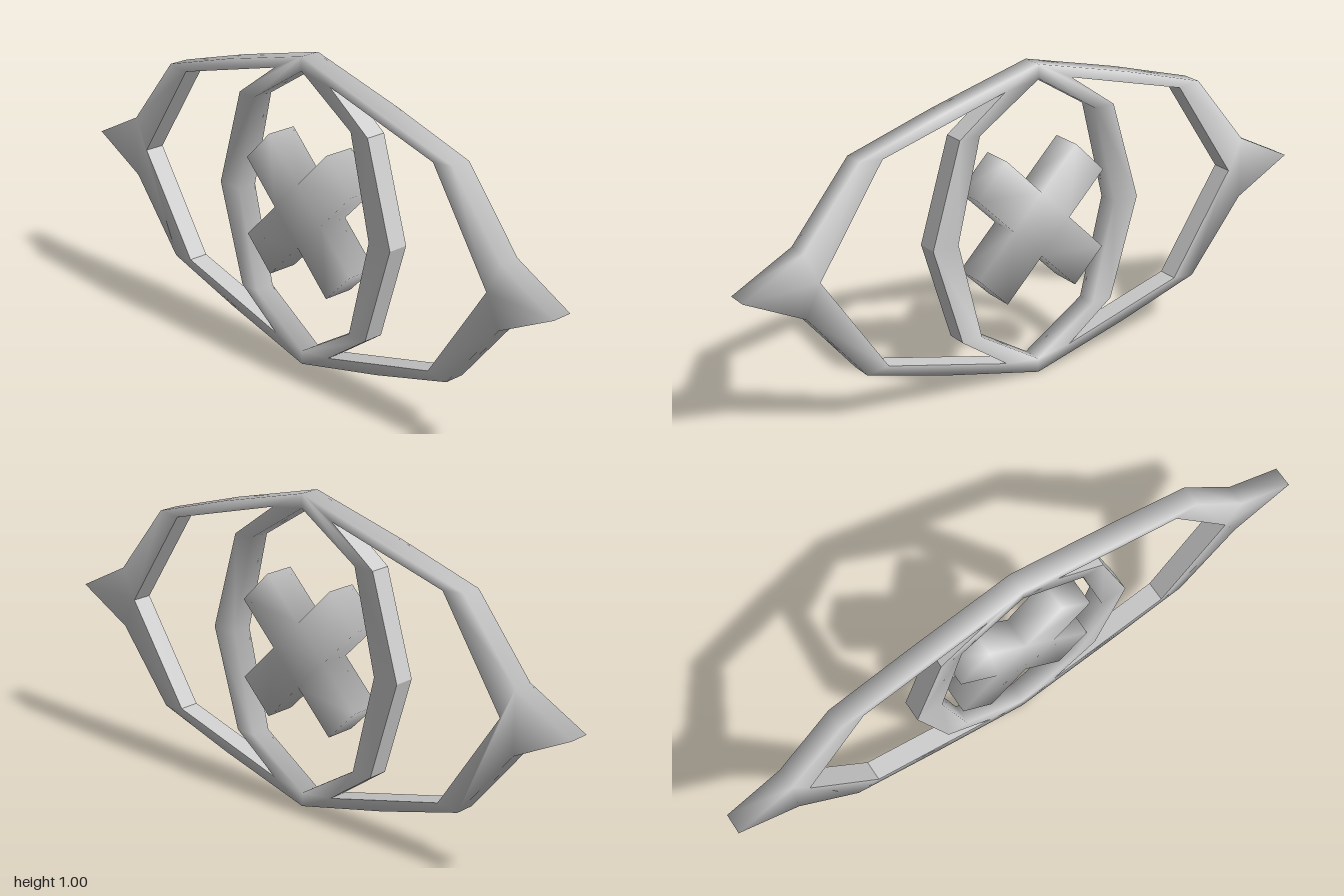
import * as THREE from 'three';
import { mergeVertices } from 'three/addons/utils/BufferGeometryUtils.js';

const MID = 0.5; // height of the horizontal symmetry line

const points = (list) => list.map(([u, v]) => new THREE.Vector2(u, v));

// Complete a top-right quarter outline (top point to side point) to all four quarters, counter-clockwise
function mirrorFour(quarter) {
  const right = [...quarter, ...quarter.slice(0, -1).reverse().map(([u, v]) => [u, -v])];
  const left = right.slice(1, -1).reverse().map(([u, v]) => [-u, v]);
  return points([...right, ...left].reverse());
}

// Extrude symmetrically across x
function extrude(shape, thickness) {
  const g = new THREE.ExtrudeGeometry(shape, { depth: thickness, bevelEnabled: false });
  g.translate(0, 0, -thickness / 2);
  g.rotateY(Math.PI / 2);
  g.translate(0, MID, 0);
  return g;
}

// Smooth normals in which each face counts by its corner angle
function smoothNormals(g) {
  const { position } = g.attributes;
  const sums = Array.from({ length: position.count }, () => new THREE.Vector3());
  const corner = (i) => new THREE.Vector3().fromBufferAttribute(position, i);
  for (let t = 0; t < g.index.count; t += 3) {
    const ids = [0, 1, 2].map((k) => g.index.getX(t + k));
    const p = ids.map(corner);
    const normal = new THREE.Triangle(...p).getNormal(new THREE.Vector3());
    ids.forEach((id, k) => {
      const a = p[(k + 1) % 3].clone().sub(p[k]);
      const b = p[(k + 2) % 3].clone().sub(p[k]);
      sums[id].addScaledVector(normal, a.angleTo(b));
    });
  }
  const normals = sums.flatMap((n) => n.normalize().toArray());
  g.setAttribute('normal', new THREE.Float32BufferAttribute(normals, 3));
}

// Take a range of triangles, with smooth or flat normals
function portion(g, start, end, smooth) {
  const part = new THREE.BufferGeometry();
  const pos = g.attributes.position.array.slice(start * 3, end * 3);
  part.setAttribute('position', new THREE.BufferAttribute(pos, 3));
  if (smooth) {
    const merged = mergeVertices(part, 1e-4);
    smoothNormals(merged);
    return merged;
  }
  part.computeVertexNormals();
  return part;
}

export function createModel() {
  const model = new THREE.Group();
  model.name = 'eyeEmblem';
  const grey = new THREE.MeshStandardMaterial({ color: 0xcccccc });
  grey.name = 'light grey';

  const add = (name, geometry) => {
    const mesh = new THREE.Mesh(geometry, grey);
    mesh.name = name;
    model.add(mesh);
  };

  // Eye frame: pointed outline, iris opening and a crescent opening on each side
  const frame = new THREE.Shape(mirrorFour([
    [0, 0.5], [0.33, 0.415], [0.615, 0.33], [0.805, 0.1], [1, 0],
  ]));
  const iris = mirrorFour([[0, 0.455], [0.21, 0.322], [0.29, 0]]);
  const crescent = [
    [0.12, 0.437], [0.54, 0.322], [0.755, 0], [0.54, -0.322],
    [0.12, -0.437], [0.28, -0.322], [0.378, 0], [0.28, 0.322],
  ];
  frame.holes.push(new THREE.Path(iris));
  for (const s of [1, -1]) {
    frame.holes.push(new THREE.Path(points(crescent.map(([u, v]) => [u * s, v]))));
  }
  const frameGeometry = extrude(frame, 0.066);
  const total = frameGeometry.attributes.position.count;
  const wallStart = total - 2 * crescent.length * 6; // crescent walls come last
  add('eyeFrame', portion(frameGeometry, 0, wallStart, true));
  add('crescentWalls', portion(frameGeometry, wallStart, total, false));

  // Diagonal cross pupil
  const cross = new THREE.Shape(mirrorFour([
    [0, 0.103], [0.127, 0.23], [0.23, 0.127], [0.103, 0],
  ]));
  const crossGeometry = extrude(cross, 0.1);
  add('crossPupil', portion(crossGeometry, 0, crossGeometry.attributes.position.count, true));

  return model;
}
